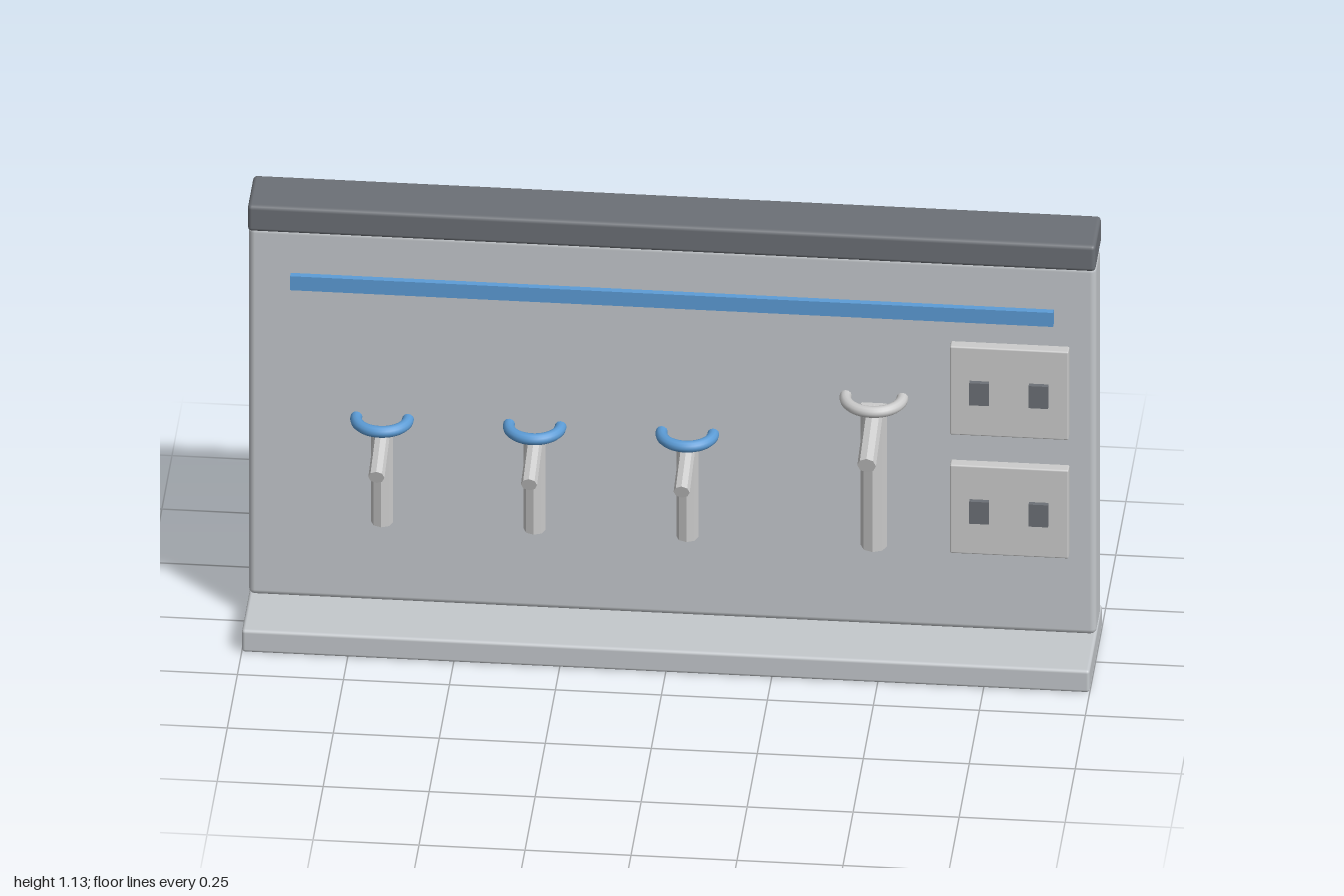
import * as THREE from 'three';
import { RoundedBoxGeometry } from 'three/addons/geometries/RoundedBoxGeometry.js';

const mat = (color, flatShading = false) => new THREE.MeshStandardMaterial({ color, flatShading });
const grey = mat(0xcccccc);
const facetedGrey = mat(0xcccccc, true);
const wallGrey = mat(0xc4c8cc);
const dark = mat(0x6c7076);
const blue = mat(0x5c9cd6);

// Box given by its lower and upper corners; bevel 0 leaves sharp edges
function block(name, [x0, y0, z0], [x1, y1, z1], material, bevel = 0) {
  const size = [x1 - x0, y1 - y0, z1 - z0];
  const geometry = bevel ? new RoundedBoxGeometry(...size, 2, bevel) : new THREE.BoxGeometry(...size);
  const mesh = new THREE.Mesh(geometry, material);
  mesh.name = name;
  mesh.position.set((x0 + x1) / 2, (y0 + y1) / 2, (z0 + z1) / 2);
  return mesh;
}

// Faceted rod between two points
function rod(name, from, to, radius) {
  const a = new THREE.Vector3(...from), b = new THREE.Vector3(...to);
  const mesh = new THREE.Mesh(new THREE.CylinderGeometry(radius, radius, a.distanceTo(b), 8), facetedGrey);
  mesh.name = name;
  mesh.position.copy(a).lerp(b, 0.5);
  mesh.quaternion.setFromUnitVectors(new THREE.Vector3(0, 1, 0), b.sub(a).normalize());
  return mesh;
}

// Tap: upright stem, sloping spout and a curved handle set into the wall
function tap({ x, stemTop, stemRadius, spoutY, tip, spoutRadius, handleY, ringRadius, material }) {
  const group = new THREE.Group();
  group.name = 'tap';
  const z = -0.013;
  group.add(rod('stem', [0, 0.28, z], [0, stemTop, z], stemRadius));
  group.add(rod('spout', [0, spoutY, z], [0, tip[0], tip[1]], spoutRadius));

  const arc = Math.PI * 1.12;
  const ring = new THREE.TorusGeometry(ringRadius, 0.014, 12, 28, arc);
  ring.rotateZ((Math.PI - arc) / 2).rotateX(Math.PI / 2);
  const handle = new THREE.Mesh(ring, material);
  handle.name = 'handle';
  handle.position.set(0, handleY, z);
  group.add(handle);
  group.position.x = x;
  return group;
}

// Socket plate with two dark slots
function socket(y) {
  const group = new THREE.Group();
  group.name = 'socket';
  group.add(block('plate', [0.657, y - 0.12, -0.022], [0.937, y + 0.12, 0.008], grey, 0.004));
  for (const x of [0.727, 0.867]) {
    group.add(block('slot', [x - 0.023, y - 0.03, 0], [x + 0.023, y + 0.03, 0.02], dark));
  }
  return group;
}

export function createModel() {
  const model = new THREE.Group();
  model.name = 'serviceWall';

  // Wall structure
  model.add(block('base', [-1, 0, -0.17], [1, 0.06, 0.147], wallGrey, 0.008));
  model.add(block('panel', [-1, 0.06, -0.125], [1, 1.06, -0.018], wallGrey, 0.015));
  model.add(block('cap', [-1, 1.06, -0.146], [1, 1.13, 0.003], dark, 0.01));
  model.add(block('stripe', [-0.9, 0.904, -0.022], [0.9, 0.942, -0.002], blue));

  // Three short taps with blue handles and one tall grey tap
  for (const x of [-0.684, -0.324, 0.036]) {
    model.add(tap({
      x, stemTop: 0.535, stemRadius: 0.026, spoutY: 0.522, tip: [0.482, 0.127],
      spoutRadius: 0.019, handleY: 0.56, ringRadius: 0.061, material: blue,
    }));
  }
  model.add(tap({
    x: 0.476, stemTop: 0.665, stemRadius: 0.031, spoutY: 0.645, tip: [0.601, 0.166],
    spoutRadius: 0.022, handleY: 0.682, ringRadius: 0.067, material: grey,
  }));

  for (const y of [0.723, 0.401]) model.add(socket(y));
  return model;
}
